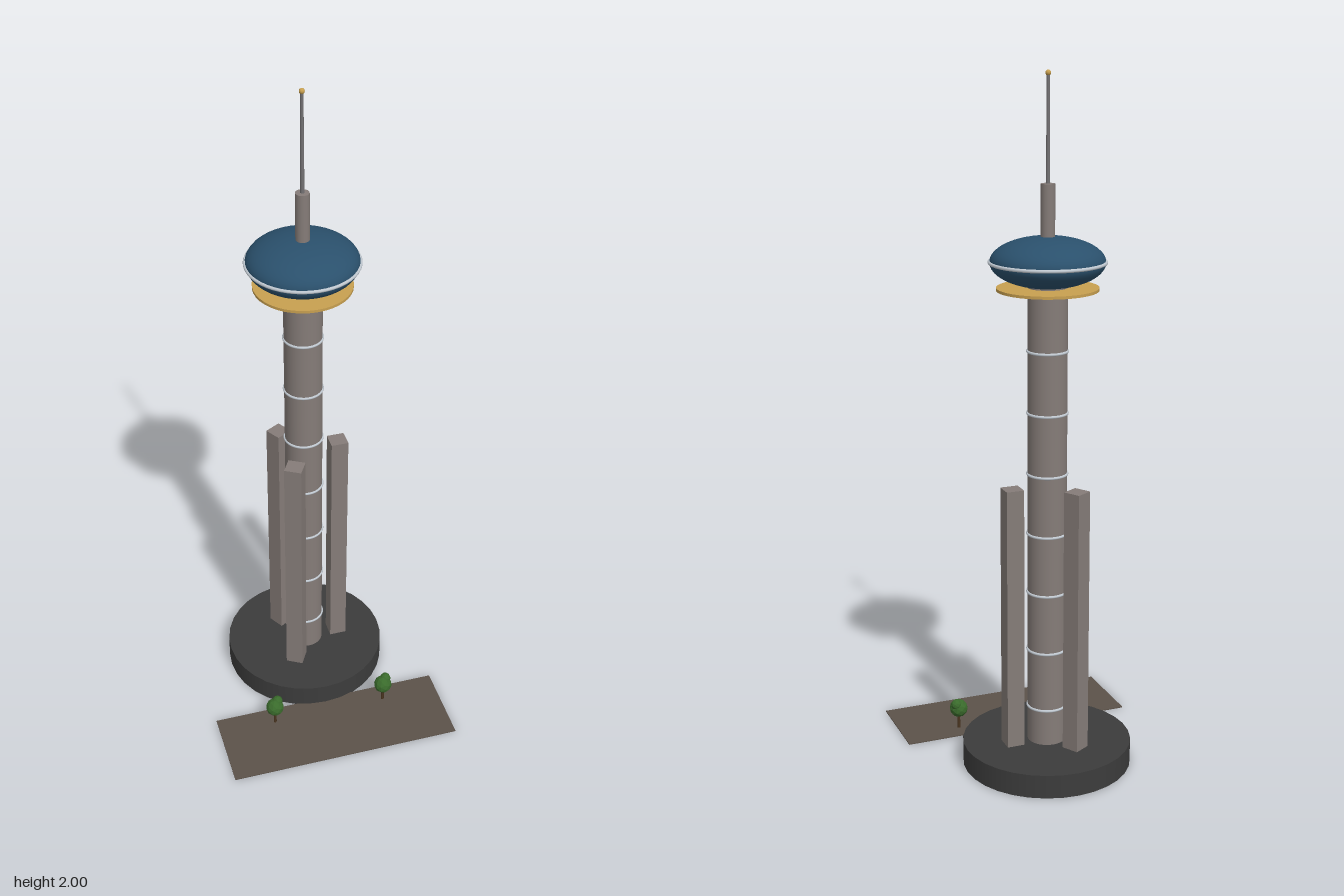
import * as THREE from 'three';

const mat = (name, color, opts = {}) => {
  const m = new THREE.MeshStandardMaterial({ color, ...opts });
  m.name = name;
  return m;
};

export function createModel() {
  const concrete = mat('concrete', 0x857c78);
  const darkStone = mat('dark stone', 0x3c3c3c);
  const glass = mat('blue glass', 0x2a506c);
  const silver = mat('silver trim', 0xc0c8d0);
  const gold = mat('gold', 0xc8a050);
  const steel = mat('antenna steel', 0x747274);
  const paving = mat('paving', 0x5c5249);
  const leaf = mat('leaves', 0x3a6b2c, { flatShading: true });
  const bark = mat('bark', 0x4a3520);

  const model = new THREE.Group();
  model.name = 'observationTower';
  const add = (parent, name, geometry, material, x = 0, y = 0, z = 0) => {
    const mesh = new THREE.Mesh(geometry, material);
    mesh.name = name;
    mesh.position.set(x, y, z);
    parent.add(mesh);
    return mesh;
  };
  // Upright cylinder from height y0 to y1
  const column = (parent, name, material, r0, r1, y0, y1, sides = 32) =>
    add(parent, name, new THREE.CylinderGeometry(r1, r0, y1 - y0, sides), material, 0, (y0 + y1) / 2, 0);
  const hoop = (parent, name, radius, tube, y) => {
    const ring = add(parent, name, new THREE.TorusGeometry(radius, tube, 8, 48), silver, 0, y, 0);
    ring.rotation.x = Math.PI / 2;
  };

  const tower = new THREE.Group();
  tower.name = 'tower';
  tower.position.z = -0.117;
  model.add(tower);

  // Base and shaft
  column(tower, 'base', darkStone, 0.247, 0.247, 0, 0.07);
  column(tower, 'shaft', concrete, 0.056, 0.056, 0.01, 1.44);
  for (let i = 1; i <= 7; i++) hoop(tower, 'shaftRing', 0.056, 0.004, 0.177 * i);

  // Three free-standing square pillars around the shaft
  for (let i = 0; i < 3; i++) {
    const a = (i * Math.PI * 2) / 3;
    const pillar = add(tower, 'pillar', new THREE.BoxGeometry(0.052, 0.79, 0.052), concrete,
      Math.cos(a) * 0.106, 0.455, Math.sin(a) * 0.106);
    pillar.rotation.y = -a;
  }

  // Observation pod with deck and trim
  column(tower, 'deck', gold, 0.142, 0.142, 1.409, 1.417, 40);
  const pod = add(tower, 'pod', new THREE.SphereGeometry(0.16, 40, 24), glass, 0, 1.487, 0);
  pod.scale.y = 0.44;
  hoop(tower, 'podRing', 0.16, 0.005, 1.487);

  // Mast, antenna and tip
  column(tower, 'mast', concrete, 0.02, 0.02, 1.53, 1.7, 16);
  column(tower, 'antenna', steel, 0.006, 0.0045, 1.69, 1.99, 8);
  add(tower, 'antennaTip', new THREE.SphereGeometry(0.008, 10, 8), gold, 0, 1.992, 0);

  // Forecourt
  add(model, 'forecourt', new THREE.BoxGeometry(0.708, 0.003, 0.247), paving, 0, 0.0015, 0.2375);

  // Trees
  for (const x of [-0.177, 0.177]) {
    const tree = new THREE.Group();
    tree.name = 'tree';
    tree.position.set(x, 0, 0.167);
    column(tree, 'trunk', bark, 0.005, 0.004, 0.002, 0.055, 8);
    add(tree, 'crown', new THREE.IcosahedronGeometry(0.028, 1), leaf, 0, 0.068, 0);
    add(tree, 'upperCrown', new THREE.IcosahedronGeometry(0.017, 1), leaf, 0.01, 0.084, -0.008);
    model.add(tree);
  }

  return model;
}
